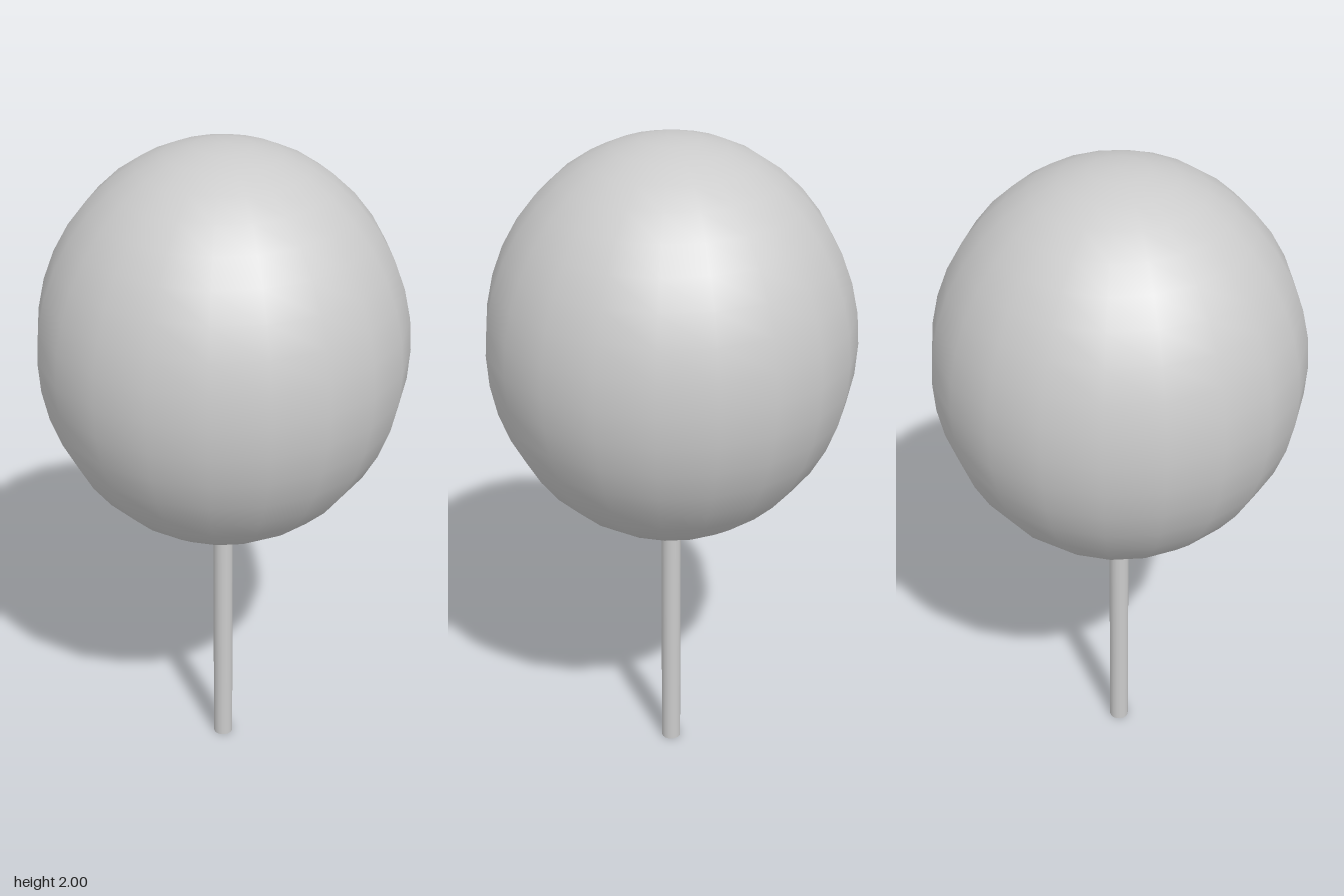
import * as THREE from 'three';

export function createModel() {
  const group = new THREE.Group();
  const material = new THREE.MeshStandardMaterial({ color: 0xcccccc });

  // Slightly tall ellipsoid head, 20 sides around
  const head = new THREE.Mesh(new THREE.SphereGeometry(1, 20, 20), material);
  head.name = 'head';
  head.scale.set(0.54, 0.6, 0.54);
  head.position.y = 1.4;
  group.add(head);

  // Thin round stick, its top just inside the head
  const stickHeight = 0.82;
  const stick = new THREE.Mesh(
    new THREE.CylinderGeometry(0.03, 0.03, stickHeight, 16), material);
  stick.name = 'stick';
  stick.position.y = stickHeight / 2;
  group.add(stick);

  return group;
}
